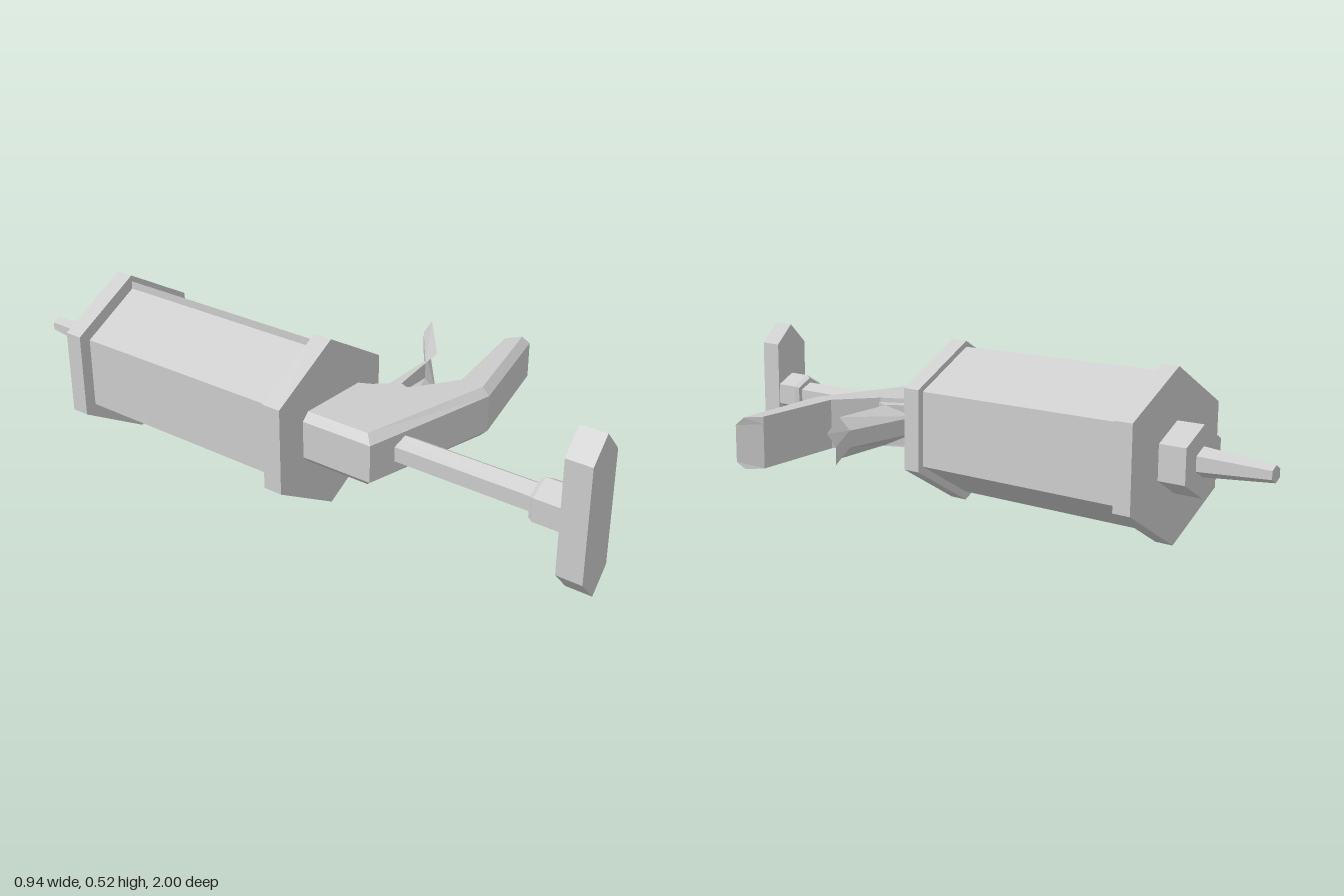
import * as THREE from 'three';

const AX = -0.247, AY = 0.263; // main axis, running along z
const mat = new THREE.MeshStandardMaterial({ color: 0xcccccc, flatShading: true });
const sheetMat = new THREE.MeshStandardMaterial({ color: 0xcccccc, flatShading: true, side: THREE.DoubleSide });

function add(group, name, geometry, material = mat) {
  const mesh = new THREE.Mesh(geometry, material);
  mesh.name = name;
  group.add(mesh);
  return mesh;
}

// Six-sided bar on the main axis, points up and down; rA at zA (back), rB at zB (front)
function hexBar(group, name, zA, zB, rA, rB = rA) {
  const g = new THREE.CylinderGeometry(rB, rA, zB - zA, 6);
  g.rotateX(Math.PI / 2);
  add(group, name, g).position.set(AX, AY, (zA + zB) / 2);
}

// Profile in x/y pushed from zA to zB
function extrudeZ(points, zA, zB) {
  const shape = new THREE.Shape(points.map(([x, y]) => new THREE.Vector2(x, y)));
  const g = new THREE.ExtrudeGeometry(shape, { depth: zB - zA, bevelEnabled: false });
  return g.translate(0, 0, zA);
}

// Solid from stacked x/z outlines of equal point count, capped at both ends
function stack(levels) {
  const clockwise = THREE.ShapeUtils.isClockWise(levels[0].outline.map(p => new THREE.Vector2(...p)));
  const rings = levels.map(l => clockwise ? [...l.outline].reverse() : l.outline);
  const n = rings[0].length, pos = [], index = [];
  rings.forEach((r, k) => r.forEach(([x, z]) => pos.push(x, levels[k].y, z)));
  for (let k = 0; k < rings.length - 1; k++) {
    for (let i = 0; i < n; i++) {
      const a = k * n + i, b = k * n + (i + 1) % n;
      index.push(a, b + n, b, a, a + n, b + n);
    }
  }
  const cap = r => THREE.ShapeUtils.triangulateShape(r.map(p => new THREE.Vector2(...p)), []);
  const top = (rings.length - 1) * n;
  cap(rings[0]).forEach(([a, b, c]) => index.push(a, b, c));
  cap(rings[rings.length - 1]).forEach(([a, b, c]) => index.push(top + a, top + c, top + b));
  return finish(pos, index);
}

function finish(pos, index) {
  const g = new THREE.BufferGeometry();
  g.setAttribute('position', new THREE.Float32BufferAttribute(pos, 3));
  g.setIndex(index);
  const flat = g.toNonIndexed();
  flat.computeVertexNormals();
  return flat;
}

export function createModel() {
  const group = new THREE.Group();

  // Barrel: cartridge, half-shell frame around its left side, end plates
  hexBar(group, 'cartridge', -0.66, 0.12, 0.217);
  const arc = r => [90, 30, -30, -90].map(d => {
    const a = THREE.MathUtils.degToRad(d);
    return [AX + r * Math.cos(a), AY + 0.004 + r * Math.sin(a)];
  });
  add(group, 'barrelFrame', extrudeZ([...arc(0.237), ...arc(0.205).reverse()], -0.64, 0.1));
  hexBar(group, 'backEndPlate', -0.69, -0.632, 0.26);
  hexBar(group, 'frontEndPlate', 0.092, 0.152, 0.26);

  // Nozzle
  hexBar(group, 'nozzleCollar', -0.778, -0.68, 0.106);
  hexBar(group, 'nozzle', -1, -0.77, 0.025, 0.045);

  // Plunger rod with its push plate
  hexBar(group, 'plungerRod', 0.1, 0.86, 0.044);
  hexBar(group, 'plungerCollarTaper', 0.828, 0.842, 0.06, 0.069);
  hexBar(group, 'plungerCollar', 0.842, 0.93, 0.069);
  const w = 0.063;
  add(group, 'pushPlate', extrudeZ([
    [AX, 0.035], [AX + w, 0.102], [AX + w, 0.441], [AX, 0.508], [AX - w, 0.441], [AX - w, 0.102],
  ], 0.922, 1));

  // Grip: outer edges chamfered above and below
  const inner = [[0.405, 0.322], [0.077, 0.377], [-0.055, 0.288], [-0.124, 0.147]];
  const wide = [[-0.373, 0.147], [-0.373, 0.382], [0.075, 0.473], [0.466, 0.376], ...inner];
  const narrow = [[-0.351, 0.147], [-0.351, 0.358], [0.075, 0.45], [0.45, 0.357], ...inner];
  add(group, 'grip', stack([
    { y: 0.185, outline: narrow }, { y: 0.207, outline: wide },
    { y: 0.319, outline: wide }, { y: 0.342, outline: narrow },
  ]));

  // Trigger: pivot block and a channel open towards the grip
  const pivot = [[-0.13, 0.165], [-0.08, 0.172], [-0.025, 0.235], [-0.045, 0.285], [-0.065, 0.29]];
  add(group, 'triggerPivot', stack([{ y: 0.2, outline: pivot }, { y: 0.328, outline: pivot }]));
  const stations = [ // back x, z then front x, z
    [-0.11, 0.167, -0.025, 0.237], [0.2, 0.167, 0.21, 0.202], [0.39, 0.03, 0.405, 0.05],
  ];
  const pos = [], index = [];
  for (const [bx, bz, fx, fz] of stations) {
    // outer sheet edge, floor of the channel, other edge
    pos.push(fx, 0.2, fz, bx, 0.238, bz, bx, 0.29, bz, fx, 0.328, fz);
  }
  for (let s = 0; s < 2; s++) {
    for (let i = 0; i < 3; i++) {
      const a = s * 4 + i;
      index.push(a, a + 1, a + 5, a, a + 5, a + 4);
    }
  }
  add(group, 'trigger', finish(pos, index), sheetMat);

  return group;
}
